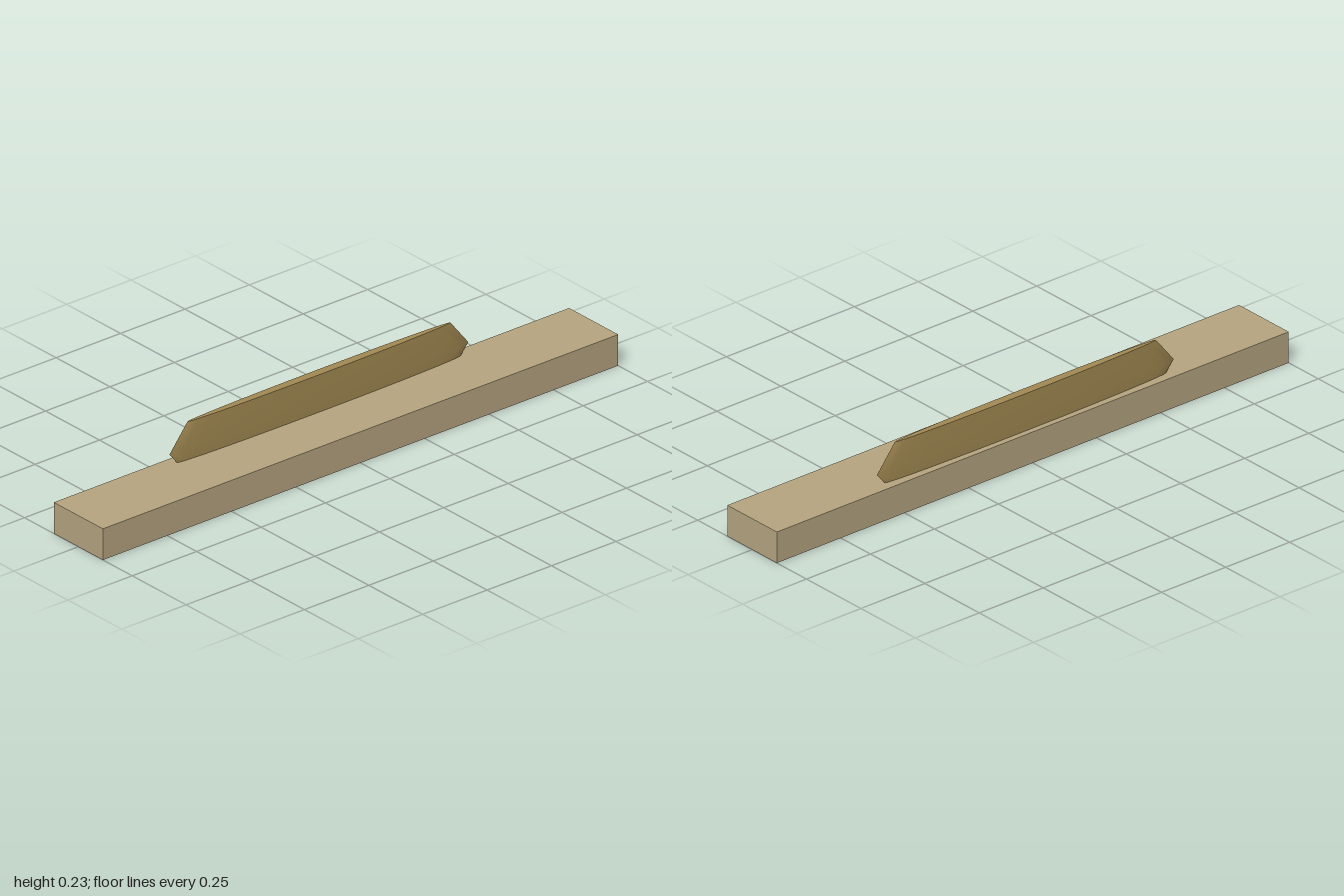
import * as THREE from 'three';
import { toCreasedNormals } from 'three/addons/utils/BufferGeometryUtils.js';

export function createModel() {
  const model = new THREE.Group();
  const paleWood = new THREE.MeshStandardMaterial({ name: 'pale wood', color: 0xb7a681 });
  const darkWood = new THREE.MeshStandardMaterial({ name: 'dark wood', color: 0xa48b53 });

  // Long plank the model stands on
  const base = new THREE.Mesh(new THREE.BoxGeometry(2, 0.104, 0.228), paleWood);
  base.name = 'basePlank';
  base.position.y = 0.052;
  model.add(base);

  // Thin upright board: a turned profile flattened front to back
  const profile = [[0, 0.1], [0.547, 0.1], [0.58, 0.14], [0.51, 0.228], [0, 0.228]]
    .map(([r, y]) => new THREE.Vector2(r, y));
  const lens = new THREE.LatheGeometry(profile, 32, Math.PI / 2);
  lens.scale(1, 1, 0.0165 / 0.58);
  const board = new THREE.Mesh(toCreasedNormals(lens, Math.PI / 6), darkWood);
  board.name = 'uprightBoard';
  board.position.z = -0.0795;
  model.add(board);

  return model;
}
